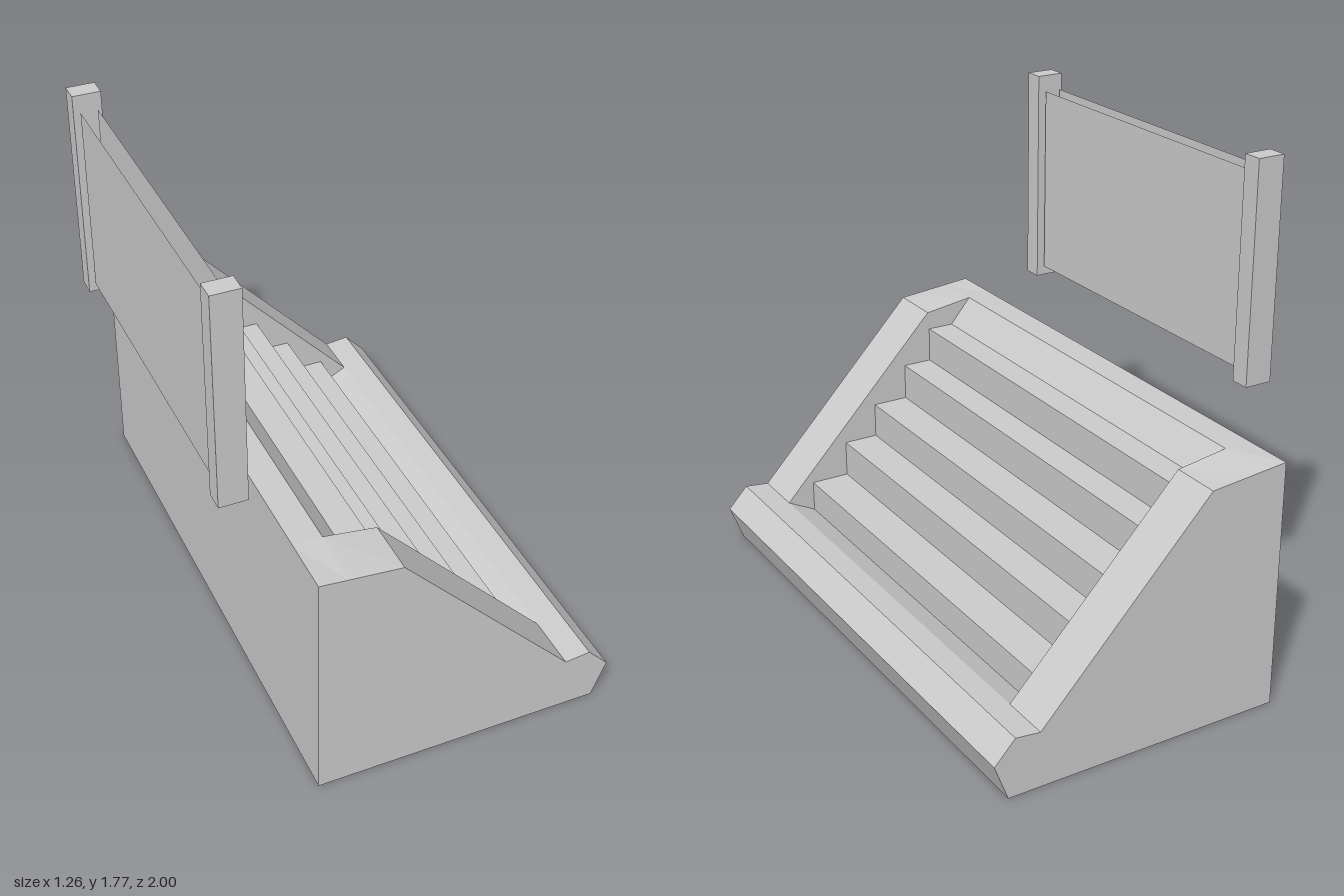
import * as THREE from 'three';

const material = new THREE.MeshStandardMaterial({ color: 0xcccccc, flatShading: true });
const sheetMaterial = new THREE.MeshStandardMaterial({ color: 0xcccccc, flatShading: true, side: THREE.DoubleSide });

// Extrude an x-y outline between two z positions
function extrudeProfile(points, z0, z1) {
  const shape = new THREE.Shape(points.map(([x, y]) => new THREE.Vector2(x, y)));
  const geometry = new THREE.ExtrudeGeometry(shape, { depth: z1 - z0, bevelEnabled: false });
  return geometry.translate(0, 0, z0);
}

function addMesh(parent, name, geometry, mat = material) {
  const mesh = new THREE.Mesh(geometry, mat);
  mesh.name = name;
  parent.add(mesh);
  return mesh;
}

export function createModel() {
  const model = new THREE.Group();
  model.name = 'steppedStand';

  const back = -0.44, innerBack = -0.34, top = 0.885;
  const lip = [[0.58, 0], [0.63, 0.13], [0.555, 0.21], [0.465, 0.2]];
  const zBack = -0.82, zFront = 0.8;

  // Sloping end walls; the top folds down slightly toward the outer edge
  const wall = [[back, 0], ...lip, [-0.155, 0.858], [innerBack, top], [back, top]];
  const addWall = (name, z0, z1, outerZ) => {
    const geometry = extrudeProfile(wall, z0, z1);
    const p = geometry.attributes.position;
    for (let i = 0; i < p.count; i++) {
      const onFold = Math.abs(p.getX(i) - innerBack) < 1e-4 && p.getY(i) > 0.8;
      if (onFold && Math.abs(p.getZ(i) - outerZ) < 1e-4) p.setY(i, 0.8755);
    }
    geometry.computeVertexNormals();
    addMesh(model, name, geometry);
  };
  addWall('frontEndWall', zFront, 1, 1);
  addWall('backEndWall', -1, zBack, -1);

  // Steps between the walls, with a sloping gutter behind the lip
  const edges = [-0.16, -0.05, 0.085, 0.215, 0.36];
  const levels = [0.79, 0.66, 0.525, 0.395, 0.26, 0.145];
  const steps = [[back, 0], ...lip];
  for (let i = edges.length - 1; i >= 0; i--) {
    steps.push([edges[i], levels[i + 1]], [edges[i], levels[i]]);
  }
  steps.push([-0.26, levels[0]], [innerBack, top], [back, top]);
  addMesh(model, 'steps', extrudeProfile(steps, zBack, zFront));

  // Raised board: two posts with a thin sheet on each side
  const board = new THREE.Group();
  board.name = 'board';
  board.position.x = -0.58;
  model.add(board);
  for (const side of [1, -1]) {
    addMesh(board, side > 0 ? 'frontPost' : 'backPost', new THREE.BoxGeometry(0.1, 0.775, 0.07))
      .position.set(0, 1.3875, side * 0.64);
    const sheet = addMesh(board, side > 0 ? 'leftSheet' : 'rightSheet', new THREE.PlaneGeometry(1.175, 0.68), sheetMaterial);
    sheet.rotation.y = side * Math.PI / 2;
    sheet.position.set(side * 0.03, 1.38, 0);
  }
  return model;
}
